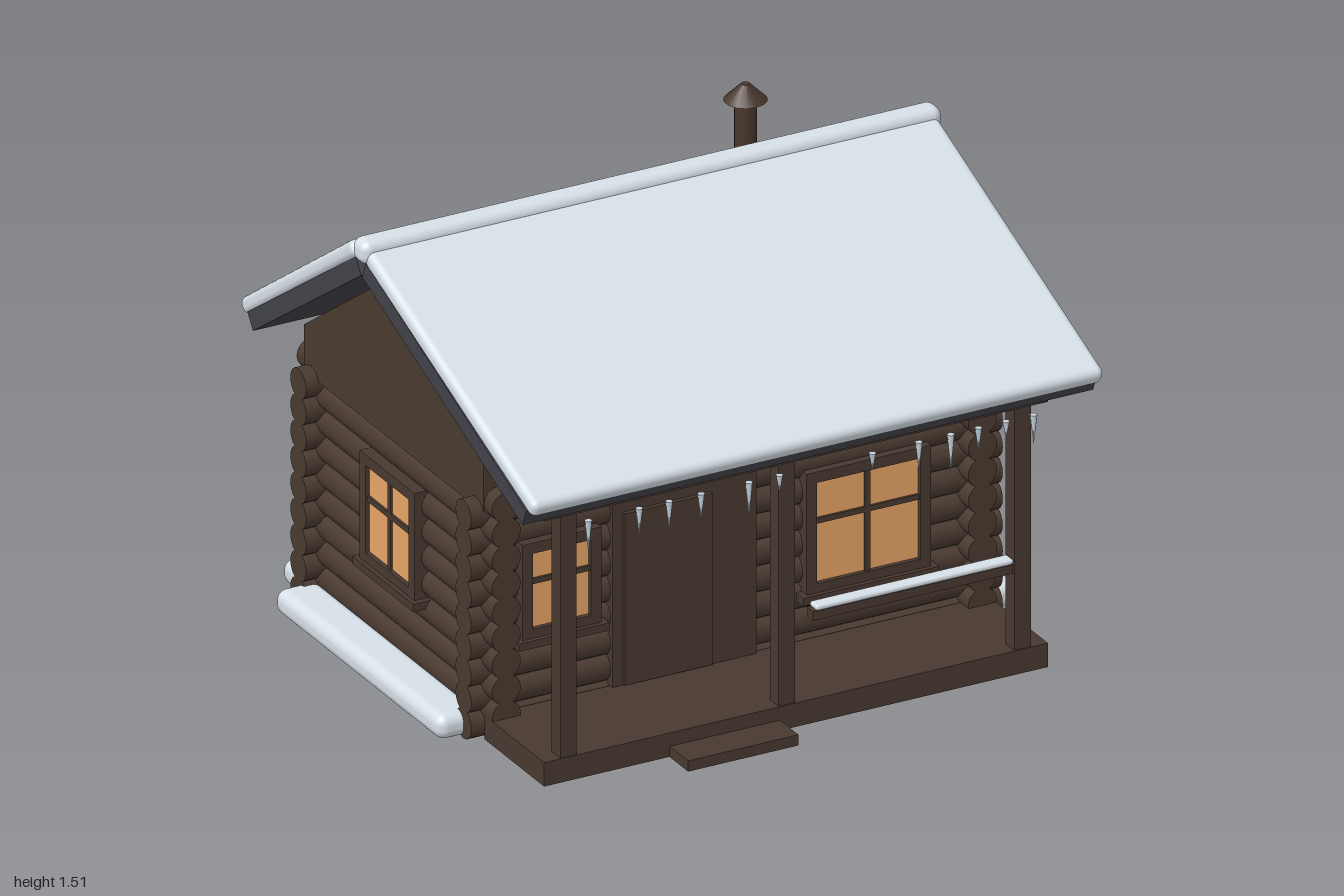
import * as THREE from 'three';
import { RoundedBoxGeometry } from 'three/addons/geometries/RoundedBoxGeometry.js';

const mat = (name, color) => {
  const m = new THREE.MeshStandardMaterial({ color });
  m.name = name;
  return m;
};

export function createModel() {
  const logWood = mat('log wood', 0x4a3a30);
  const trimWood = mat('trim wood', 0x483930);
  const metal = mat('rusty metal', 0x48372c);
  const roofBoard = mat('roof board', 0x41414a);
  const snow = mat('snow', 0xdde6ee);
  const ice = mat('ice', 0xc6d4df);
  const glow = mat('lit glass', 0xe8a566);

  const model = new THREE.Group();
  model.name = 'logCabin';

  const add = (parent, name, geometry, material, x = 0, y = 0, z = 0) => {
    const mesh = new THREE.Mesh(geometry, material);
    mesh.name = name;
    mesh.position.set(x, y, z);
    parent.add(mesh);
    return mesh;
  };
  const box = (parent, name, material, w, h, d, x, y, z) =>
    add(parent, name, new THREE.BoxGeometry(w, h, d), material, x, y, z);
  const group = (name, parent = model) => {
    const g = new THREE.Group();
    g.name = name;
    parent.add(g);
    return g;
  };

  // Log walls: side courses sit half a log higher and cross at the corners
  const walls = group('logWalls');
  const longLog = new THREE.CylinderGeometry(0.05, 0.05, 1.83, 16).rotateZ(Math.PI / 2);
  const sideLog = new THREE.CylinderGeometry(0.05, 0.05, 1.23, 16).rotateX(Math.PI / 2);
  for (let i = 0; i < 9; i++) {
    const y = 0.05 + i * 0.0875;
    add(walls, 'frontLog', longLog, logWood, 0, y, 0.363);
    add(walls, 'backLog', longLog, logWood, 0, y, -0.677);
    for (const s of [-1, 1]) add(walls, 'sideLog', sideLog, logWood, s * 0.82, y + 0.044, -0.155);
  }

  // Gable walls, drawn as (-z, y)
  const gable = new THREE.Shape([[-0.41, 0.765], [0.72, 0.765], [0.72, 0.92], [0.155, 1.32], [-0.41, 1.097]]
    .map(([a, b]) => new THREE.Vector2(a, b)));
  const gableGeo = new THREE.ExtrudeGeometry(gable, { depth: 0.07, bevelEnabled: false }).rotateY(Math.PI / 2);
  add(model, 'rightGable', gableGeo, logWood, 0.802, 0, 0);
  add(model, 'leftGable', gableGeo, logWood, -0.872, 0, 0);

  // Roof boards and snow, each laid between two (z, y) points
  const slab = (name, material, thick, rounded, z0, y0, z1, y1) => {
    const len = Math.hypot(z1 - z0, y1 - y0);
    const geo = rounded
      ? new RoundedBoxGeometry(1.97, thick, len, 3, 0.024)
      : new THREE.BoxGeometry(1.965, thick, len);
    const mesh = add(model, name, geo, material, 0, (y0 + y1) / 2, (z0 + z1) / 2);
    mesh.rotation.x = Math.atan2(y0 - y1, z1 - z0);
  };
  slab('frontRoofBoard', roofBoard, 0.06, false, -0.14, 1.372, 0.87, 0.968);
  slab('backRoofBoard', roofBoard, 0.06, false, -0.856, 0.898, -0.174, 1.372);
  slab('frontRoofSnow', snow, 0.058, true, -0.135, 1.42, 0.925, 1.007);
  slab('backRoofSnow', snow, 0.056, true, -0.915, 0.92, -0.21, 1.417);
  add(model, 'ridgeSnow', new RoundedBoxGeometry(2, 0.08, 0.085, 4, 0.032), snow, 0, 1.432, -0.153);

  // Stove pipe with conical cap
  const chimney = group('chimney');
  add(chimney, 'pipe', new THREE.CylinderGeometry(0.035, 0.035, 0.365, 14), metal, 0.52, 1.273, -0.485);
  add(chimney, 'cap', new THREE.CylinderGeometry(0.014, 0.068, 0.053, 14), metal, 0.52, 1.479, -0.485);

  // Porch: deck, step, posts, beam and snowy rail
  const porch = group('porch');
  box(porch, 'deck', trimWood, 1.735, 0.08, 0.375, 0, 0.045, 0.597);
  box(porch, 'step', trimWood, 0.38, 0.036, 0.12, -0.245, 0.022, 0.84);
  for (const x of [-0.782, -0.03, 0.782]) box(porch, 'post', trimWood, 0.056, 0.815, 0.056, x, 0.49, 0.753);
  box(porch, 'beam', trimWood, 1.735, 0.065, 0.06, 0, 0.927, 0.755);
  box(porch, 'rail', trimWood, 0.69, 0.03, 0.04, 0.41, 0.355, 0.753);
  add(porch, 'railSnow', new RoundedBoxGeometry(0.68, 0.018, 0.046, 2, 0.008), snow, 0.415, 0.379, 0.753);

  // Door
  const door = group('door');
  box(door, 'doorFrame', trimWood, 0.495, 0.625, 0.06, -0.188, 0.395, 0.395);
  box(door, 'doorPanel', trimWood, 0.3, 0.575, 0.02, -0.25, 0.378, 0.43);

  // Openings face +z with the wall surface at local z = 0
  const opening = (name, x, y, z, turn, w, h) => {
    const g = group(name);
    g.position.set(x, y, z);
    g.rotation.y = turn;
    box(g, 'sill', trimWood, w + 0.04, 0.026, 0.06, 0, -h / 2 - 0.008, 0.01);
    return g;
  };
  const litWindow = (name, x, y, z, turn, w, h) => {
    const g = opening(name, x, y, z, turn, w, h);
    const t = 0.036;
    box(g, 'backing', trimWood, w - 0.01, h - 0.01, 0.03, 0, 0, -0.012);
    box(g, 'glass', glow, w - 2 * t, h - 2 * t, 0.006, 0, 0, 0.007);
    for (const s of [-1, 1]) {
      box(g, 'frameSide', trimWood, t, h, 0.05, s * (w - t) / 2, 0, 0);
      box(g, 'frameRail', trimWood, w - 2 * t, t, 0.05, 0, s * (h - t) / 2, 0);
    }
    box(g, 'upright', trimWood, 0.018, h - 2 * t, 0.012, 0, 0, 0.012);
    box(g, 'crossbar', trimWood, w - 2 * t, 0.018, 0.012, 0, h * 0.09, 0.012);
  };
  const shutter = (name, x, y, z, turn, w, h) => {
    const g = opening(name, x, y, z, turn, w, h);
    box(g, 'shutterPanel', trimWood, w, h, 0.05, 0, 0, -0.005);
    for (const v of [0.122, 0.035, -0.052, -0.152])
      box(g, 'slat', trimWood, w - 0.065, v < -0.1 || v > 0.1 ? 0.032 : 0.046, 0.014, 0, v, 0.025);
  };
  litWindow('smallFrontWindow', -0.617, 0.478, 0.413, 0, 0.272, 0.325);
  litWindow('largeFrontWindow', 0.44, 0.447, 0.413, 0, 0.428, 0.41);
  litWindow('leftSideWindow', -0.87, 0.4875, -0.155, -Math.PI / 2, 0.345, 0.365);
  shutter('rightSideShutter', 0.87, 0.4875, -0.155, Math.PI / 2, 0.345, 0.365);
  shutter('backShutter', 0.2, 0.4875, -0.727, Math.PI, 0.345, 0.365);

  // Snow banks along the sides and back
  const banks = group('snowBanks');
  for (const s of [-1, 1])
    add(banks, 'sideBank', new RoundedBoxGeometry(0.15, 0.083, 1.045, 4, 0.036), snow, s * 0.925, 0.0425, -0.158);
  add(banks, 'backBank', new RoundedBoxGeometry(1.76, 0.083, 0.15, 4, 0.036), snow, 0, 0.0425, -0.78);

  // Icicles as [x, length] under each eave
  const icicles = group('icicles');
  const hang = (list, top, z) => {
    for (const [x, len] of list)
      add(icicles, 'icicle', new THREE.ConeGeometry(0.012, len, 7).rotateX(Math.PI), ice, x, top - len / 2, z);
  };
  hang([[-0.758, 0.11], [-0.583, 0.09], [-0.48, 0.1], [-0.37, 0.09], [-0.205, 0.12], [-0.1, 0.06],
    [0.22, 0.06], [0.38, 0.1], [0.49, 0.13], [0.585, 0.08], [0.68, 0.06], [0.775, 0.1]], 0.906, 0.863);
  hang([[-0.735, 0.1], [-0.53, 0.06], [-0.42, 0.06], [-0.2, 0.08], [0.01, 0.07], [0.075, 0.06],
    [0.38, 0.1], [0.505, 0.13], [0.68, 0.07]], 0.845, -0.842);

  return model;
}
